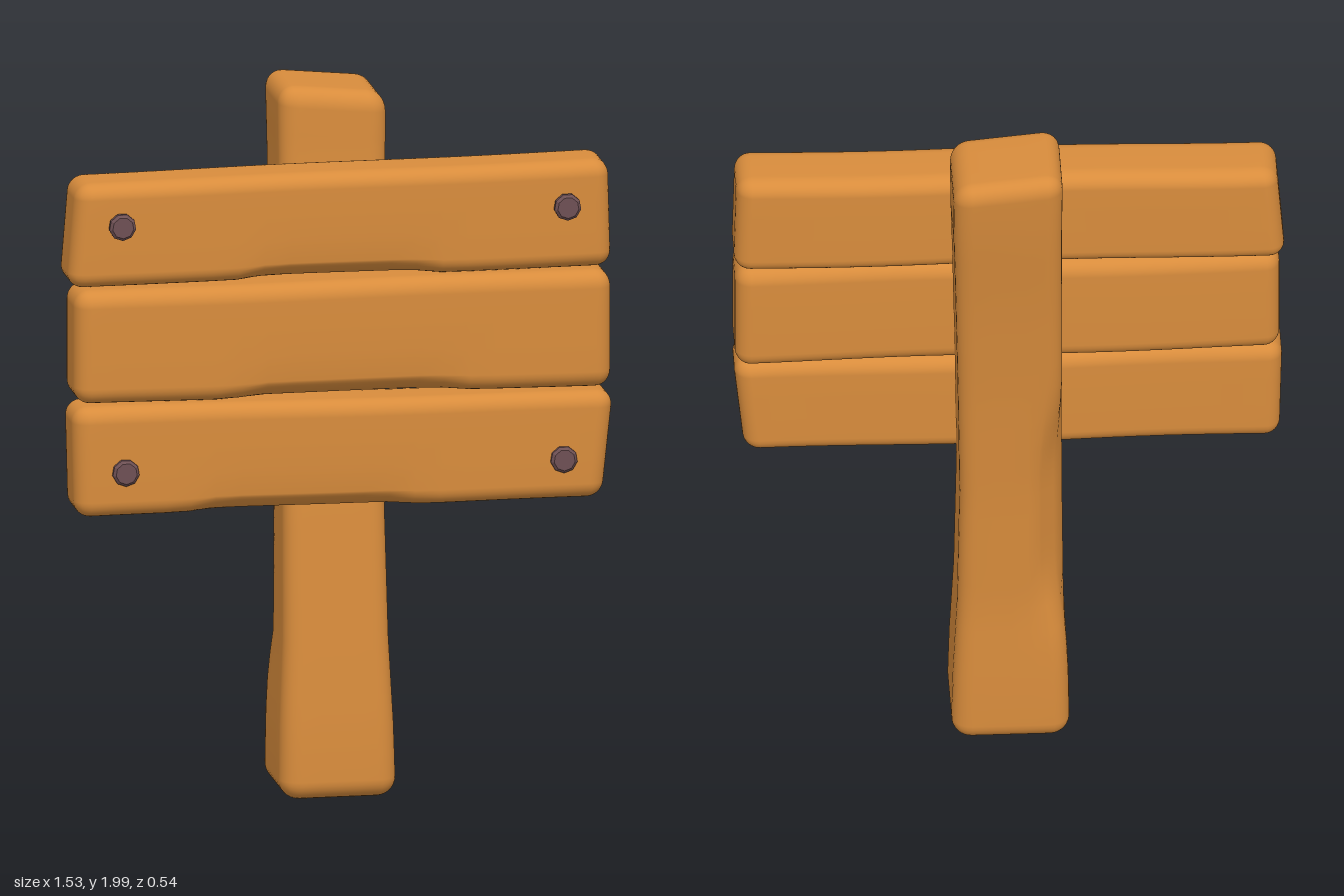
import * as THREE from 'three';
import { mergeVertices } from 'three/addons/utils/BufferGeometryUtils.js';

const wood = new THREE.MeshStandardMaterial({ color: 0xd88c3c });
wood.name = 'warm wood';
const iron = new THREE.MeshStandardMaterial({ color: 0x6e5054 });
iron.name = 'dark iron';

const ROUND = 4; // grid rows spent on each rounded edge
const { lerp, smoothstep } = THREE.MathUtils;

// Spreads uniform grid lines so that the outer ones fall inside the rounded edge
function spread(t, half, r, inner) {
  const n = inner + 2 * ROUND;
  const i = Math.round((t + 0.5) * n);
  if (i <= ROUND) return -half + (r * i) / ROUND;
  if (i >= n - ROUND) return half - (r * (n - i)) / ROUND;
  return lerp(-half + r, half - r, (i - ROUND) / inner);
}

// Rounded block with inner subdivisions, bent by warp(vertex)
function block(size, r, inner, warp) {
  const g = new THREE.BoxGeometry(1, 1, 1, ...inner.map((n) => n + 2 * ROUND));
  g.deleteAttribute('uv');
  g.deleteAttribute('normal');
  const p = g.attributes.position;
  const half = new THREE.Vector3(...size).multiplyScalar(0.5);
  const core = half.clone().subScalar(r);
  const low = core.clone().negate();
  const v = new THREE.Vector3(), c = new THREE.Vector3();
  for (let i = 0; i < p.count; i++) {
    v.fromBufferAttribute(p, i);
    v.set(spread(v.x, half.x, r, inner[0]), spread(v.y, half.y, r, inner[1]), spread(v.z, half.z, r, inner[2]));
    c.copy(v).clamp(low, core);
    v.sub(c).setLength(r).add(c);
    warp(v);
    p.setXYZ(i, v.x, v.y, v.z);
  }
  const m = mergeVertices(g, 1e-5);
  m.computeVertexNormals();
  return m;
}

// Post outline: height, right and left x, back and front z
const POST = [
  [0, -0.165, 0.165, -0.145, 0.18],
  [0.2, -0.162, 0.16, -0.142, 0.172],
  [0.45, -0.15, 0.148, -0.135, 0.152],
  [0.84, -0.145, 0.142, -0.152, 0.118],
  [1.2, -0.142, 0.148, -0.178, 0.075],
  [1.5, -0.14, 0.155, -0.21, 0.045],
  [1.8, -0.138, 0.163, -0.25, 0.02],
  [2, -0.14, 0.165, -0.27, 0.015],
];

function bendPost(v) {
  const y = THREE.MathUtils.clamp(v.y + 1, 0, 2);
  const k = Math.min(POST.findIndex((row, i) => i > 0 && y <= row[0]), POST.length - 1);
  const a = POST[k - 1], b = POST[k], t = (y - a[0]) / (b[0] - a[0]);
  const [, x0, x1, z0, z1] = a.map((n, i) => lerp(n, b[i], t));
  const sx = v.x / 0.32 + 0.5, sz = v.z / 0.32 + 0.5;
  // hewn chamfer along the back right corner
  const cut = Math.max(0, 0.3 - sx - sz) * smoothstep(y, 0.3, 0.6) * (1 - smoothstep(y, 0.9, 1.25));
  v.x = lerp(x0, x1, sx + cut * 0.5);
  v.z = lerp(z0, z1, sz + cut * 0.5);
  // sloping top
  v.y = y - smoothstep(y, 1.6, 1.95) * (sx * 0.03);
}

// Planks: left and right ends, [bottom, top] at each end, back and front z, top/bottom end slant
const PLANKS = [
  { name: 'topPlank', x: [-0.76, 0.757], a: [1.497, 1.792], b: [1.497, 1.802], z: [0.03, 0.222], slant: [-0.012, 0.004], shave: [0.0, 0.3] },
  { name: 'middlePlank', x: [-0.757, 0.757], a: [1.168, 1.49], b: [1.16, 1.494], z: [0.052, 0.242], slant: [0, 0], shave: [0.02, 0.36] },
  { name: 'bottomPlank', x: [-0.762, 0.745], a: [0.85, 1.164], b: [0.847, 1.15], z: [0.078, 0.255], slant: [0.004, -0.016], shave: [-0.1, 0.36] },
];

function plank(d) {
  const w = d.x[1] - d.x[0], h = 0.31, depth = 0.18;
  const g = block([w, h, depth], 0.045, [20, 3, 2], (v) => {
    const sx = v.x / w + 0.5, sy = v.y / h + 0.5, sz = v.z / depth + 0.5;
    const wave = 0.004 * Math.sin(sx * 9 + d.a[0] * 7);
    const worn = 1 - smoothstep(Math.abs(v.x - d.shave[0]), d.shave[1] * 0.6, d.shave[1]);
    const edge = Math.max(0, 0.2 - sy) * Math.max(0, sz - 0.6);
    v.x = lerp(d.x[0], d.x[1], sx) + lerp(d.slant[0], d.slant[1], sx) * (0.5 - sy) * 2;
    v.y = lerp(lerp(d.a[0], d.b[0], sx), lerp(d.a[1], d.b[1], sx), sy) + wave * 0.5 + edge * worn * 0.25;
    v.z = lerp(d.z[0], d.z[1], sz) + wave * 0.6 - edge * worn * 0.2;
  });
  const mesh = new THREE.Mesh(g, wood);
  mesh.name = d.name;
  return mesh;
}

// Nail with a bevelled head on a narrower shank
function nail(x, y, z) {
  const outline = [[0, -0.07], [0.027, -0.07], [0.027, -0.024], [0.038, -0.021], [0.038, -0.008], [0.03, 0], [0, 0]];
  const g = new THREE.LatheGeometry(outline.map(([r, h]) => new THREE.Vector2(r, h)), 9).toNonIndexed();
  g.computeVertexNormals();
  g.rotateX(Math.PI / 2);
  const mesh = new THREE.Mesh(g, iron);
  mesh.position.set(x, y, z);
  mesh.name = 'nail';
  return mesh;
}

export function createModel() {
  const model = new THREE.Group();
  model.name = 'woodenSign';

  const post = new THREE.Mesh(block([0.32, 2, 0.32], 0.055, [4, 24, 4], bendPost), wood);
  post.name = 'post';
  model.add(post);

  const board = new THREE.Group();
  board.name = 'board';
  PLANKS.forEach((d) => board.add(plank(d)));
  model.add(board);

  const nails = new THREE.Group();
  nails.name = 'nails';
  [
    [-0.625, 1.675, 0.25],
    [0.63, 1.68, 0.25],
    [-0.62, 0.98, 0.275],
    [0.615, 0.967, 0.275],
  ].forEach((n) => nails.add(nail(...n)));
  model.add(nails);

  return model;
}
